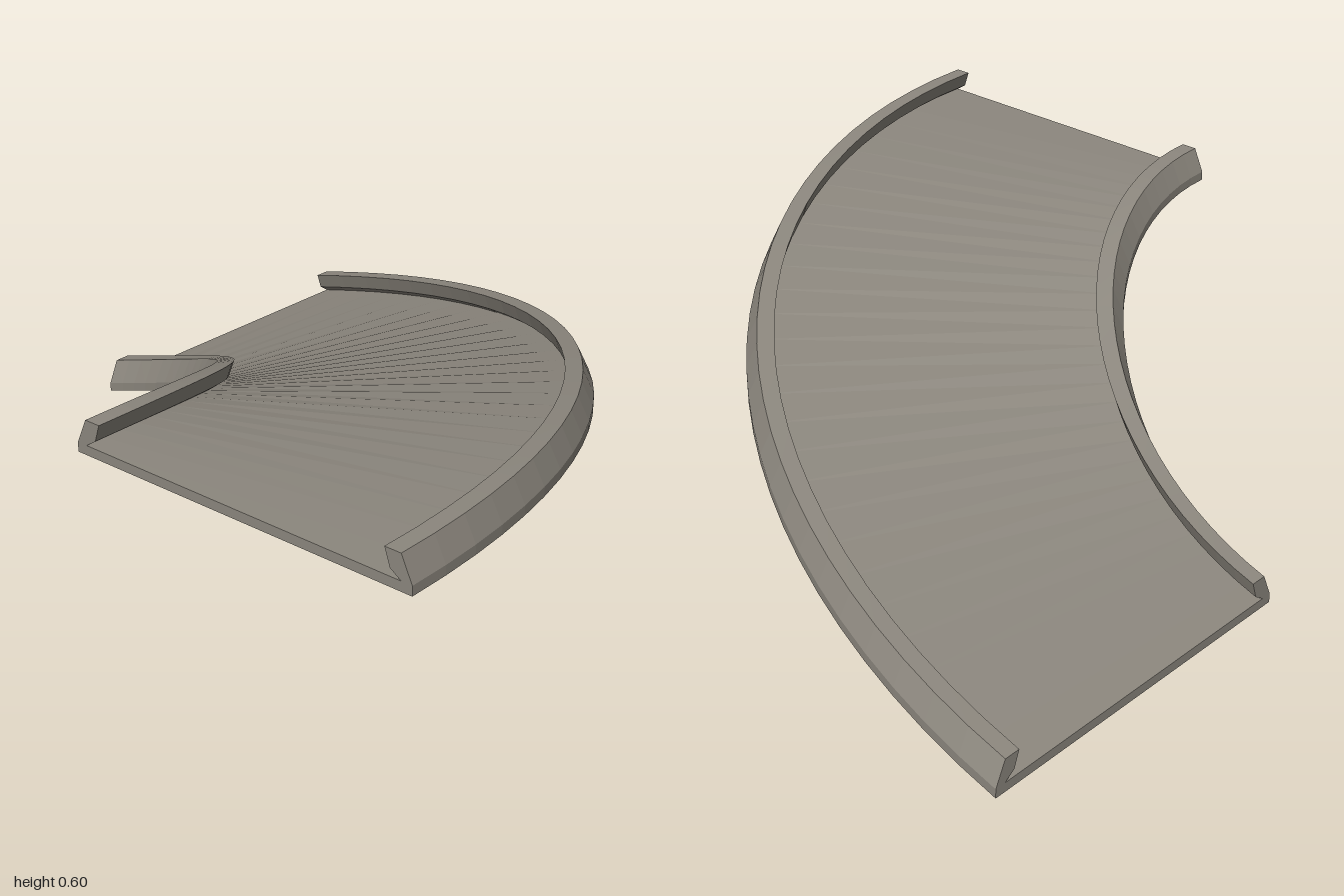
import * as THREE from 'three';

const SEGMENTS = 28;
const RISE = 0.505;

// Height of the underside: the outer edge rises evenly, the inner edge sags a little
function baseHeight(r, angle) {
  const c = Math.cos(angle);
  const outer = c;
  const inner = 0.6 * c + 0.4 * c * c;
  return RISE * THREE.MathUtils.lerp(inner, outer, r - 1);
}

// Sweeps a counter-clockwise section of [radius, height] through a quarter turn
function sweepSection(section) {
  const positions = [];
  const point = (i, step) => {
    const [r, h] = section[i % section.length];
    const a = (step / SEGMENTS) * Math.PI / 2;
    return [-1 + r * Math.cos(a), baseHeight(r, a) + h, 1 - r * Math.sin(a)];
  };
  const tri = (a, b, c) => positions.push(...a, ...b, ...c);

  for (let s = 0; s < SEGMENTS; s++) {
    for (let i = 0; i < section.length; i++) {
      const a = point(i, s), b = point(i + 1, s);
      const a2 = point(i, s + 1), b2 = point(i + 1, s + 1);
      tri(a, a2, b);
      tri(b, a2, b2);
    }
  }
  // End caps
  const outline = section.map(([r, h]) => new THREE.Vector2(r, h));
  for (const [i, j, k] of THREE.ShapeUtils.triangulateShape(outline, [])) {
    tri(point(i, 0), point(j, 0), point(k, 0));
    tri(point(i, SEGMENTS), point(k, SEGMENTS), point(j, SEGMENTS));
  }
  const geometry = new THREE.BufferGeometry();
  geometry.setAttribute('position', new THREE.Float32BufferAttribute(positions, 3));
  geometry.computeVertexNormals();
  return geometry;
}

export function createModel() {
  const group = new THREE.Group();
  group.name = 'curvedRamp';

  const stone = new THREE.MeshStandardMaterial({ color: 0x8c877e });
  stone.name = 'warm grey';

  const add = (name, section) => {
    const mesh = new THREE.Mesh(sweepSection(section), stone);
    mesh.name = name;
    group.add(mesh);
  };

  // Thin road deck
  add('deck', [[1.03, 0], [1.97, 0], [1.97, 0.025], [1.03, 0.025]]);

  // Leaning kerbs with a lip that overhangs the deck
  const kerb = [
    [1, 0], [1.03, 0], [1.03, 0.025], [1.06, 0.045],
    [1.075, 0.09], [1.03, 0.09], [1, 0.025],
  ];
  add('innerKerb', kerb);
  add('outerKerb', kerb.map(([r, h]) => [3 - r, h]).reverse());

  return group;
}
